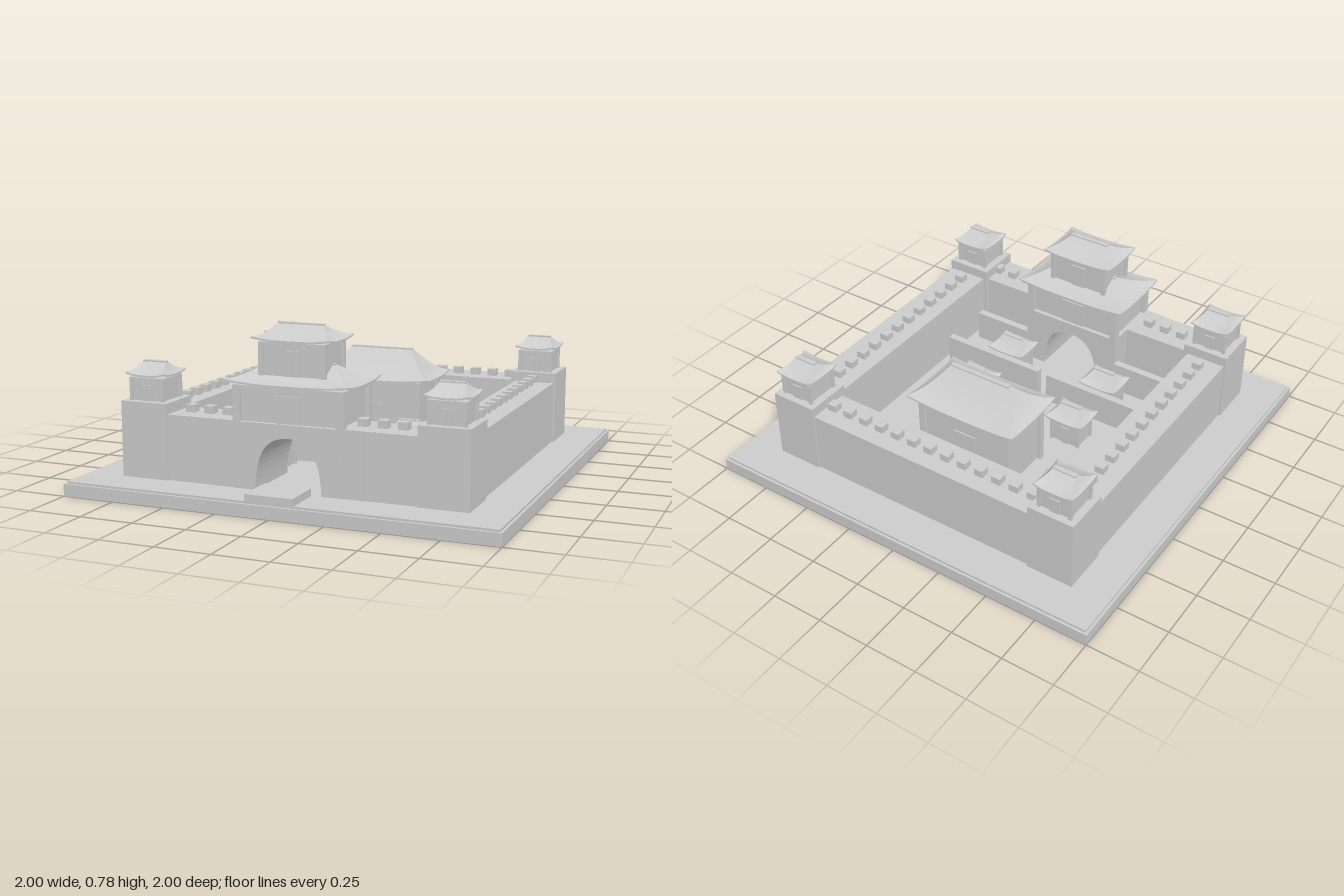
import * as THREE from 'three';

const stone = new THREE.MeshStandardMaterial({ color: 0xcccccc });
stone.name = 'pale stone';

function add(parent, geometry, name) {
  const mesh = new THREE.Mesh(geometry, stone);
  mesh.name = name;
  parent.add(mesh);
  return mesh;
}

// Box given by its limits on each axis
function block(parent, name, x0, x1, y0, y1, z0, z1) {
  const g = new THREE.BoxGeometry(x1 - x0, y1 - y0, z1 - z0);
  g.translate((x0 + x1) / 2, (y0 + y1) / 2, (z0 + z1) / 2);
  return add(parent, g, name);
}

// Hipped roof with a hollow curve and lifted corners; w, d, ridge are half sizes
function roofGeometry(w, d, ridge, h, lift) {
  const pos = [], idx = [], N = 10, M = 8;
  const strip = (side, rows) => {
    const base = pos.length / 3;
    for (const [hw, hd, y, up] of rows) {
      for (let i = 0; i <= N; i++) {
        const u = (i / N) * 2 - 1;
        let x = u * (side % 2 ? hd : hw), z = side % 2 ? hw : hd;
        for (let k = 0; k < side; k++) [x, z] = [z, -x];
        pos.push(x, y + up * Math.abs(u) ** 3, z);
      }
    }
    for (let r = 0; r < rows.length - 1; r++) {
      for (let i = 0; i < N; i++) {
        const a = base + r * (N + 1) + i, c = a + N + 1;
        idx.push(a, a + 1, c, a + 1, c + 1, c);
      }
    }
  };
  const top = [];
  for (let j = 0; j <= M; j++) {
    const t = j / M;
    top.push([w + (ridge - w) * t, d + (0.012 - d) * t, h * t ** 1.4, lift * (1 - t) ** 2]);
  }
  for (let side = 0; side < 4; side++) {
    strip(side, [[0, 0, -0.008, 0], [w, d, -0.008, lift]]);
    strip(side, [[w, d, -0.008, lift], [w, d, 0, lift]]);
    strip(side, top);
  }
  const g = new THREE.BufferGeometry();
  g.setAttribute('position', new THREE.Float32BufferAttribute(pos, 3));
  g.setIndex(idx);
  g.computeVertexNormals();
  return g;
}

function roof(parent, x, y, z, w, d, ridge, h, lift) {
  add(parent, roofGeometry(w, d, ridge, h, lift), 'roof').position.set(x, y, z);
  block(parent, 'ridge', x - ridge, x + ridge, y + h - 0.01, y + h + 0.006, z - 0.012, z + 0.012);
}

// Timber storey: recessed walls, corner posts, top beam and door leaves front and back
function storey(parent, x, z, w, d, y0, y1, post, doorW, doorH) {
  const inset = post * 0.6;
  block(parent, 'walls', x - w + inset, x + w - inset, y0, y1, z - d + inset, z + d - inset);
  block(parent, 'beam', x - w, x + w, y1 - 0.012, y1 + 0.006, z - d, z + d);
  for (const sx of [-1, 1]) {
    for (const sz of [-1, 1]) {
      const px = x + sx * (w - post / 2), pz = z + sz * (d - post / 2);
      block(parent, 'post', px - post / 2, px + post / 2, y0, y1, pz - post / 2, pz + post / 2);
      const dz = z + sz * (d - inset + 0.003), dx = x + sx * doorW / 2;
      block(parent, 'doorLeaf', dx - doorW / 2 + 0.001, dx + doorW / 2 - 0.001,
        y0, y0 + doorH, dz - 0.004, dz + 0.004);
    }
  }
}

function group(parent, name) {
  const g = new THREE.Group();
  g.name = name;
  parent.add(g);
  return g;
}

export function createModel() {
  const model = new THREE.Group();
  model.name = 'walledFort';
  const G = 0.066, WALL = 0.362;

  // Ground slab with a narrow stepped rim
  block(model, 'baseSlab', -1, 1, 0, 0.056, -1, 1);
  block(model, 'courtyardFloor', -0.988, 0.988, 0.056, G, -0.988, 0.988);
  block(model, 'entranceStep', -0.11, 0.11, G, 0.1, 0.81, 1);

  // Curtain walls
  const walls = group(model, 'curtainWalls');
  block(walls, 'backWall', -0.6, 0.6, G, WALL, -0.8, -0.605);
  for (const s of [-1, 1]) {
    block(walls, 'sideWall', s < 0 ? -0.8 : 0.605, s < 0 ? -0.605 : 0.8, G, WALL, -0.6, 0.6);
    block(walls, 'frontWall', s < 0 ? -0.6 : 0.25, s < 0 ? -0.25 : 0.6, G, WALL, 0.6, 0.8);
  }

  // Merlons along the middle of each wall top
  const merlon = (x, z) =>
    block(walls, 'merlon', x - 0.022, x + 0.022, WALL, 0.396, z - 0.022, z + 0.022);
  for (let i = 0; i < 13; i++) {
    merlon((i - 6) * 0.091, -0.7);
    for (const s of [-1, 1]) merlon(s * 0.697, -0.575 + i * 0.0905);
  }
  for (let i = 0; i < 14; i++) {
    const x = -0.605 + i * 0.091;
    if (Math.abs(x) > 0.26) merlon(x, 0.695);
  }

  // Corner towers
  for (const sx of [-1, 1]) {
    for (const sz of [-1, 1]) {
      const t = group(model, 'cornerTower');
      const x = sx * 0.697, z = sz * 0.697;
      block(t, 'towerBase', x - 0.113, x + 0.113, G, 0.41, z - 0.113, z + 0.113);
      storey(t, x, z, 0.085, 0.085, 0.41, 0.508, 0.016, 0.025, 0.07);
      roof(t, x, 0.527, z, 0.096, 0.098, 0.056, 0.048, 0.012);
    }
  }

  // Gatehouse block with an arched passage
  const gate = group(model, 'gatehouse');
  const s = new THREE.Shape();
  s.moveTo(-0.258, G);
  s.lineTo(-0.155, G);
  s.bezierCurveTo(-0.15, 0.22, -0.11, 0.3, 0, 0.304);
  s.bezierCurveTo(0.11, 0.3, 0.15, 0.22, 0.155, G);
  s.lineTo(0.258, G);
  s.lineTo(0.258, WALL);
  s.lineTo(-0.258, WALL);
  const arch = new THREE.ExtrudeGeometry(s, { depth: 0.325, bevelEnabled: false, curveSegments: 12 });
  arch.translate(0, 0, 0.482);
  add(gate, arch, 'archBlock');
  for (const k of [-1, 1]) {
    block(gate, 'archWing', k < 0 ? -0.35 : 0.255, k < 0 ? -0.255 : 0.35, G, WALL + 0.001, 0.597, 0.803);
  }

  // Two roofed storeys over the gate
  storey(gate, 0, 0.645, 0.258, 0.163, WALL, 0.515, 0.035, 0.06, 0.12);
  roof(gate, 0, 0.532, 0.642, 0.29, 0.187, 0.155, 0.072, 0.014);
  storey(gate, 0, 0.648, 0.155, 0.115, 0.56, 0.7, 0.02, 0.037, 0.11);
  roof(gate, 0, 0.715, 0.644, 0.183, 0.13, 0.103, 0.057, 0.012);

  // Main hall
  const hall = group(model, 'mainHall');
  storey(hall, 0, -0.305, 0.25, 0.15, G, 0.39, 0.03, 0.06, 0.215);
  roof(hall, 0, 0.402, -0.307, 0.29, 0.183, 0.16, 0.132, 0.014);

  // Small courtyard pavilions
  const spots = [[-0.28, 0.042], [0.275, 0.042], [-0.272, 0.362], [0.268, 0.362], [-0.5, -0.443]];
  for (const [x, z] of spots) {
    const p = group(model, 'pavilion');
    storey(p, x, z, 0.08, 0.063, G, 0.19, 0.014, 0.022, 0.09);
    roof(p, x, 0.2, z, 0.099, 0.082, 0.053, 0.055, 0.01);
  }

  // Courtyard partition walls
  for (const k of [-1, 1]) {
    block(model, 'innerWall', k < 0 ? -0.565 : 0.025, k < 0 ? -0.025 : 0.565, G, 0.22, 0.215, 0.25);
    block(model, 'outerPartition', k < 0 ? -0.565 : 0.255, k < 0 ? -0.255 : 0.565, G, 0.22, 0.48, 0.516);
  }
  return model;
}
